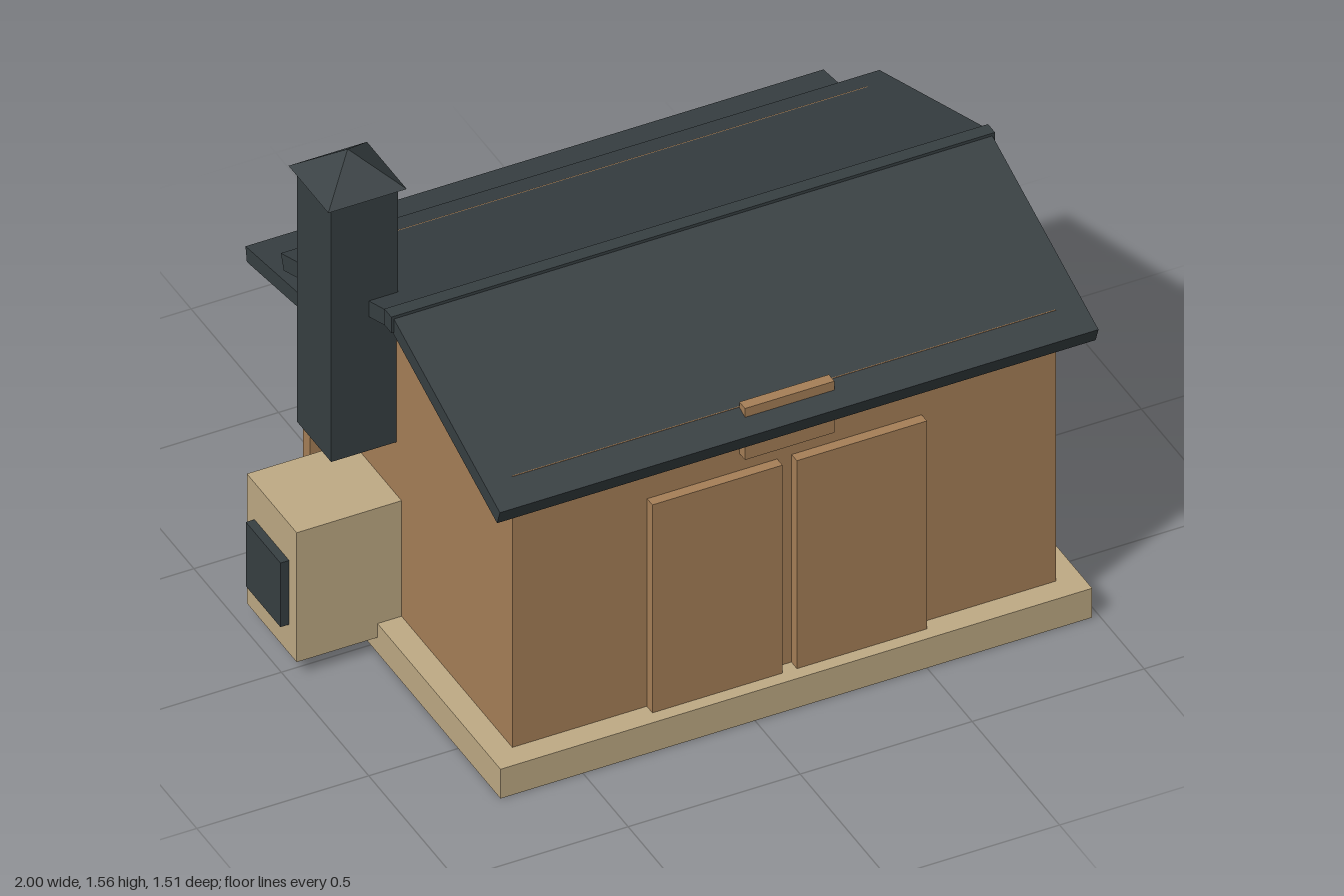
import * as THREE from 'three';

const wood = new THREE.MeshStandardMaterial({ color: 0xa67f57, flatShading: true });
const pale = new THREE.MeshStandardMaterial({ color: 0xbfaa84, flatShading: true });
const slate = new THREE.MeshStandardMaterial({ color: 0x373f42, flatShading: true });

export function createModel() {
  const model = new THREE.Group();
  const cx = 0.12, ridgeZ = 0.132; // centre of the house

  // box by size and centre, optionally tilted about x
  function box(name, material, [w, h, d], [x, y, z], tilt = 0) {
    const mesh = new THREE.Mesh(new THREE.BoxGeometry(w, h, d), material);
    mesh.name = name;
    mesh.position.set(x, y, z);
    mesh.rotation.x = tilt;
    model.add(mesh);
    return mesh;
  }

  // house body
  box('foundation', pale, [1.72, 0.095, 1.22], [cx, 0.0475, ridgeZ]);
  box('walls', wood, [1.58, 0.88, 1.08], [cx, 0.535, ridgeZ]);

  // double door and the plaque above it
  for (const side of [-1, 1]) {
    box('door', wood, [0.378, 0.675, 0.03], [cx + side * 0.21, 0.4325, 0.689]);
  }
  box('plaque', wood, [0.26, 0.167, 0.032], [cx, 0.9075, 0.688]);

  // gabled roof
  const pitch = THREE.MathUtils.degToRad(20);
  for (const side of [-1, 1]) {
    box('roofPanel', slate, [1.74, 0.048, 0.65], [cx, 1.031, ridgeZ + side * 0.313], side * pitch);
  }
  box('ridgeCap', slate, [1.755, 0.052, 0.04], [cx, 1.146, ridgeZ]);

  // rear lean-to with posts
  box('leanToRoof', slate, [1.68, 0.046, 0.42], [cx, 0.791, -0.545], THREE.MathUtils.degToRad(-9.6));
  for (const i of [-1, 0, 1]) {
    box('post', wood, [0.04, 0.675, 0.04], [cx + i * 0.69, 0.3925, -0.664]);
  }

  // drying rails with crossbars
  for (const y of [0.29, 0.477]) {
    box('rail', pale, [1.44, 0.028, 0.028], [cx, y, -0.629]);
    for (const i of [-1.5, -0.5, 0.5, 1.5]) {
      box('crossbar', pale, [0.022, 0.02, 0.22], [cx + i * 0.347, y, -0.629]);
    }
  }

  // chimney with pyramid cap
  box('chimney', slate, [0.195, 0.825, 0.195], [-0.762, 1.0525, -0.089]);
  const cap = new THREE.Mesh(new THREE.ConeGeometry(0.228 / Math.SQRT2, 0.092, 4), slate);
  cap.geometry.rotateY(Math.PI / 4);
  cap.name = 'chimneyCap';
  cap.position.set(-0.762, 1.511, -0.089);
  model.add(cap);

  // firebox and its hatch
  box('firebox', pale, [0.31, 0.42, 0.285], [-0.82, 0.26, -0.104]);
  box('fireboxHatch', slate, [0.03, 0.208, 0.198], [-0.985, 0.247, -0.104]);

  return model;
}
